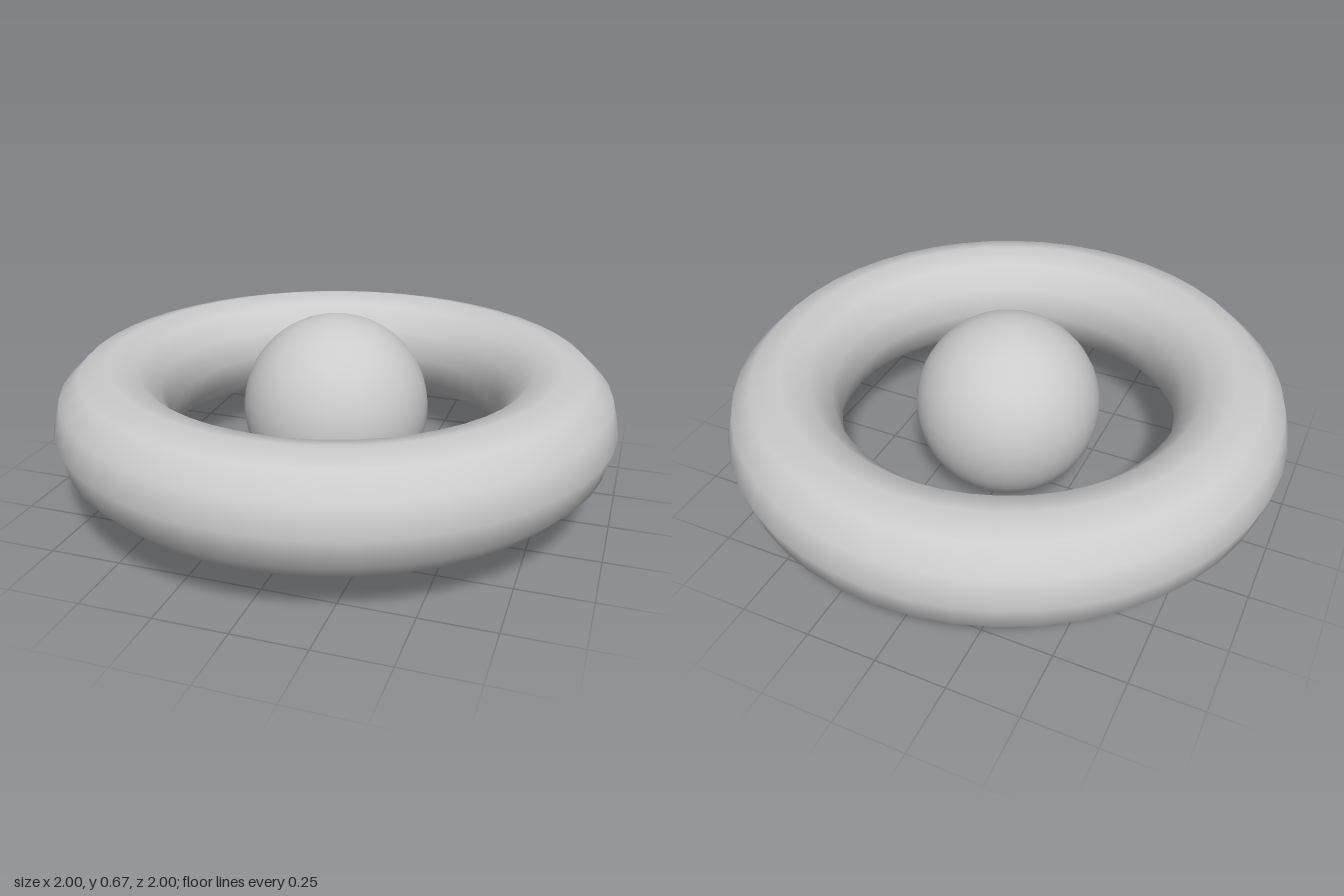
import * as THREE from 'three';

export function createModel() {
  const group = new THREE.Group();
  const material = new THREE.MeshStandardMaterial({ color: 0xcccccc });
  const centerY = 1 / 3;

  // Ball in the middle, resting on the ground
  const ball = new THREE.Mesh(new THREE.SphereGeometry(1 / 3, 32, 32), material);
  ball.name = 'ball';
  ball.position.y = centerY;

  // Horizontal ring around the ball, with a twelve-sided tube
  const ring = new THREE.Mesh(new THREE.TorusGeometry(0.8, 0.2, 12, 48), material);
  ring.name = 'ring';
  ring.rotation.x = Math.PI / 2;
  ring.position.y = centerY;

  group.add(ball, ring);
  return group;
}
